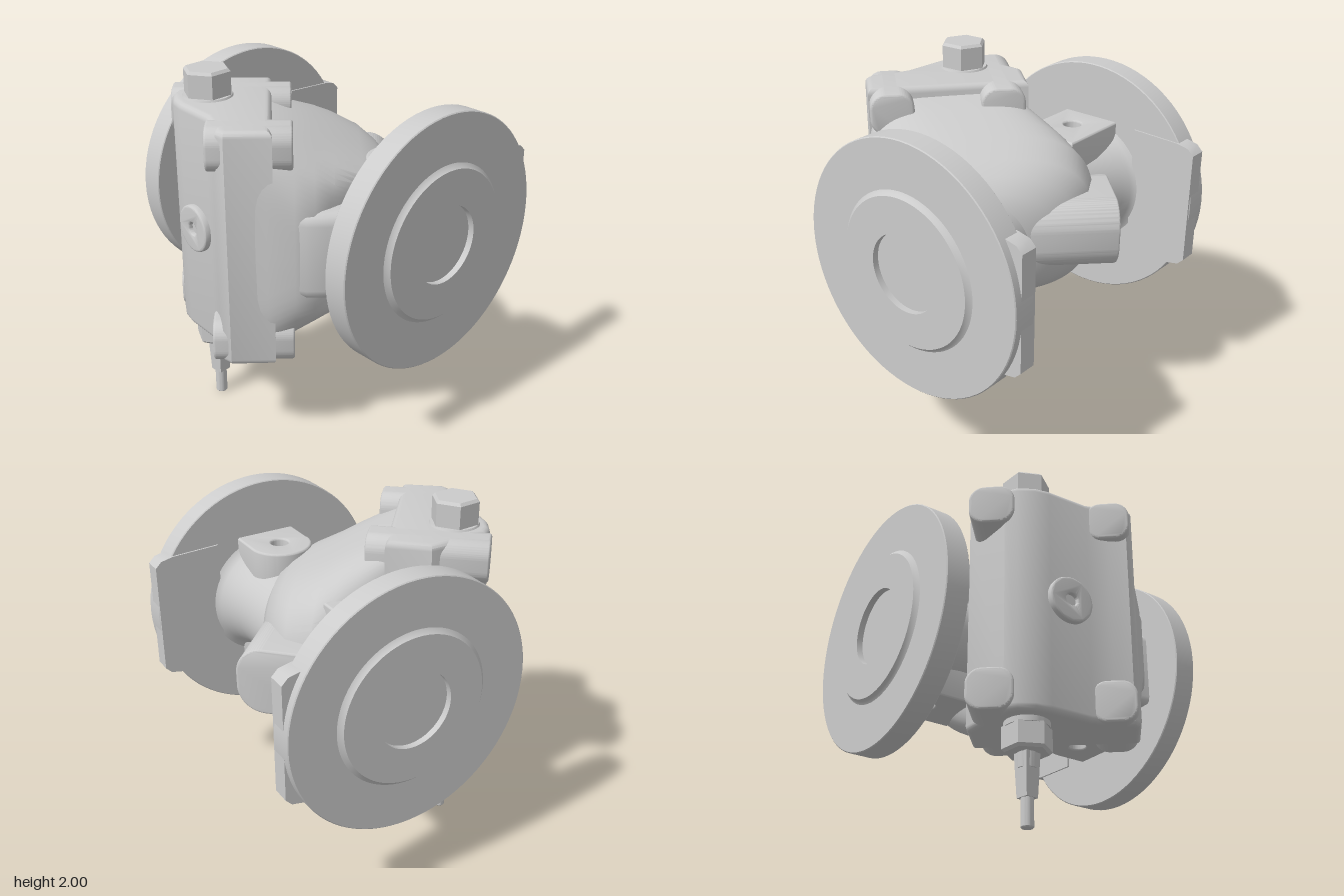
import * as THREE from 'three';
import { toCreasedNormals } from 'three/addons/utils/BufferGeometryUtils.js';

const MAT = new THREE.MeshStandardMaterial({ color: 0xcccccc });
const PIPE_Y = 1.19, PIPE_Z = -0.14;
const BONNET_ANGLE = -0.722;

function part(parent, name, geo, crease = 0.6) {
  const mesh = new THREE.Mesh(toCreasedNormals(geo, crease), MAT);
  mesh.name = name;
  parent.add(mesh);
  return mesh;
}

// Extrude with a rounded edge that stays inside the outline
function extrude(shape, depth, bevel = 0) {
  const geo = new THREE.ExtrudeGeometry(shape, {
    depth: depth - 2 * bevel, bevelEnabled: bevel > 0, bevelThickness: bevel,
    bevelSize: bevel, bevelOffset: -bevel, bevelSegments: 4, curveSegments: 24,
  });
  return geo.translate(0, 0, bevel);
}

// Vertical prism; the shape is drawn in (x, -z)
const prism = (shape, y0, y1, bevel) =>
  extrude(shape, y1 - y0, bevel).rotateX(-Math.PI / 2).translate(0, y0, 0);

const plan = (pts) => new THREE.Shape(pts.map(([x, z]) => new THREE.Vector2(x, -z)));

function roundedRect(x0, x1, y0, y1, r) {
  const s = new THREE.Shape();
  s.absarc(x1 - r, y1 - r, r, 0, Math.PI / 2);
  s.absarc(x0 + r, y1 - r, r, Math.PI / 2, Math.PI);
  s.absarc(x0 + r, y0 + r, r, Math.PI, Math.PI * 1.5);
  s.absarc(x1 - r, y0 + r, r, Math.PI * 1.5, Math.PI * 2);
  s.closePath();
  return s;
}

// Body swelling: superellipse sections along the slanted bonnet axis
function bodyGeometry() {
  // [position, sideways centre, half width, half height, squareness]
  const sections = [
    [-0.4, 0.23, 0.42, 0.63, 6], [-0.24, 0.21, 0.46, 0.61, 5], [-0.1, 0.15, 0.55, 0.56, 3.6],
    [0.0, 0.105, 0.59, 0.52, 3.2], [0.1, 0.07, 0.61, 0.47, 3], [0.25, 0.07, 0.57, 0.4, 2.8],
    [0.34, 0.1, 0.49, 0.345, 2.6], [0.41, 0.13, 0.4, 0.28, 2.5], [0.46, 0.15, 0.26, 0.18, 2.4],
    [0.47, 0.15, 0.001, 0.001, 2],
  ];
  const N = 72, pos = [], idx = [];
  sections.forEach(([a, c, hu, hy, n], i) => {
    for (let j = 0; j < N; j++) {
      const t = (j / N) * Math.PI * 2, co = Math.cos(t), si = Math.sin(t);
      const u = c + hu * Math.sign(co) * Math.abs(co) ** (2 / n);
      const y = PIPE_Y + hy * Math.sign(si) * Math.abs(si) ** (2 / n);
      pos.push(u, y, -a);
      if (i < sections.length - 1) {
        const k = (j + 1) % N, p = i * N, q = p + N;
        idx.push(p + j, q + j, p + k, p + k, q + j, q + k);
      }
    }
  });
  const geo = new THREE.BufferGeometry();
  geo.setAttribute('position', new THREE.Float32BufferAttribute(pos, 3));
  geo.setIndex(idx);
  geo.rotateY(BONNET_ANGLE);
  // Flat sides where the body meets the pipe necks
  const p = geo.attributes.position;
  for (let i = 0; i < p.count; i++) p.setX(i, Math.min(0.51, Math.max(-0.37, p.getX(i))));
  return geo;
}

// Flange, raised face, shallow bore and neck in one turned profile
function flangeGeometry(side) {
  const profile = [
    [0.2, 0], [0.28, 0], [0.28, 0.42], [0.288, 0.52], [0.31, 0.61], [0.33, 0.66], [0.345, 0.685],
    [0.37, 0.7], [0.695, 0.7], [0.7, 0.705], [0.7, 0.83], [0.695, 0.835], [0.435, 0.835],
    [0.42, 0.845], [0.41, 0.86], [0.215, 0.86], [0.215, 0.825], [0, 0.825],
  ].map(([r, h]) => new THREE.Vector2(r, h));
  return new THREE.LatheGeometry(profile, 80)
    .rotateZ(-side * Math.PI / 2).translate(0, PIPE_Y, PIPE_Z);
}

export function createModel() {
  const model = new THREE.Group();
  model.name = 'angledValve';

  // Pipe ends
  for (const side of [1, -1]) {
    const end = new THREE.Group();
    end.name = side > 0 ? 'leftPipeEnd' : 'rightPipeEnd';
    model.add(end);
    part(end, 'flange', flangeGeometry(side), 0.5);

    // Flat tab at the rear of the flange
    const tab = new THREE.Shape([[-0.45, -0.38], [-0.45, 0.38], [-0.73, 0.37], [-0.8, 0.355],
      [-0.835, 0.32], [-0.835, -0.32], [-0.8, -0.355], [-0.73, -0.37]]
      .map(([z, y]) => new THREE.Vector2(z, y)));
    part(end, 'rearTab', extrude(tab, 0.1).rotateY(-Math.PI / 2)
      .translate(side > 0 ? 0.79 : -0.69, PIPE_Y, 0));

    // Drilled pads above and below the neck
    const pad = new THREE.Shape();
    if (side > 0) {
      pad.moveTo(0.72, -0.035);
      pad.lineTo(0.52, -0.035);
      pad.absarc(0.52, 0.14, 0.18, Math.PI * 1.5, Math.PI / 2, true);
      pad.lineTo(0.72, 0.32);
    } else {
      [[-0.72, -0.035], [-0.28, -0.035], [-0.28, 0.32], [-0.72, 0.32]]
        .forEach(([x, y], i) => (i ? pad.lineTo(x, y) : pad.moveTo(x, y)));
    }
    pad.closePath();
    pad.holes.push(new THREE.Path().absarc(side * 0.525, 0.14, 0.05, 0, Math.PI * 2));
    part(end, 'upperPad', prism(pad, 1.32, 1.58, 0.012));
    part(end, 'lowerPad', prism(pad, 0.8, 1.06, 0.012));
  }

  // Body
  part(model, 'body', bodyGeometry(), 0.7);
  const gusset = plan([[0.3, 0.58], [0.4, 0.56], [0.5, 0.5], [0.57, 0.42], [0.61, 0.34],
    [0.65, 0.305], [0.71, 0.32], [0.71, -0.1], [0.3, -0.1]]);
  part(model, 'neckGusset', prism(gusset, 0.95, 1.43, 0.06));

  // Rounded boss pointing to the rear
  part(model, 'rearBoss', extrude(roundedRect(-0.12, 0.445, -0.19, 0.19, 0.15), 0.75, 0.012)
    .rotateY(Math.PI / 4).translate(-0.63 * Math.SQRT1_2, PIPE_Y, -0.63 * Math.SQRT1_2));

  // Bonnet block
  const block = plan([[-0.48, 0.2], [-0.48, 0.54], [-0.44, 0.6], [-0.36, 0.65], [-0.28, 0.67],
    [-0.04, 0.685], [0.07, 0.73], [0.16, 0.78], [0.21, 0.77], [0.36, 0.59], [-0.32, 0.02]]);
  part(model, 'bonnetBlock', prism(block, 0.54, 1.85, 0.035));

  // Four corner bosses in the slanted frame: [u0, u1, back, front]
  const bosses = new THREE.Group();
  bosses.name = 'cornerBosses';
  bosses.rotation.y = BONNET_ANGLE;
  model.add(bosses);
  for (const [u0, u1, z0, z1] of [[-0.195, 0.05, 0.115, 0.755], [0.415, 0.655, 0.105, 0.535]]) {
    for (const y of [1.735, 0.655]) {
      part(bosses, 'cornerBoss', extrude(roundedRect(u0, u1, y - 0.115, y + 0.115, 0.085), z1 - z0, 0.015)
        .translate(0, 0, z0));
    }
  }

  // Front plug with a small centre hole
  const disc = new THREE.Shape().absarc(0, 0, 0.13, 0, Math.PI * 2);
  disc.holes.push(new THREE.Path().absarc(0, 0, 0.035, 0, Math.PI * 2));
  const plug = new THREE.Group();
  plug.name = 'frontPlug';
  plug.position.set(-0.165, PIPE_Y, 0.655);
  plug.rotation.y = -0.07;
  model.add(plug);
  part(plug, 'plugDisc', extrude(disc, 0.055, 0.012));
  part(plug, 'plugFloor', new THREE.CircleGeometry(0.04, 24).translate(0, 0, 0.03));

  // Bolt heads and spindle
  const spindle = new THREE.Group();
  spindle.name = 'spindle';
  spindle.position.set(-0.293, 0, 0.476);
  model.add(spindle);
  const turned = (name, rTop, rBottom, y0, y1, sides, turn = 0.08) =>
    part(spindle, name, new THREE.CylinderGeometry(rTop, rBottom, y1 - y0, sides)
      .rotateY(turn).translate(0, (y0 + y1) / 2, 0));
  turned('topBoltHead', 0.13, 0.13, 1.86, 1.985, 6);
  turned('topBoltChamfer', 0.115, 0.13, 1.985, 2.0, 6);
  turned('topWasher', 0.13, 0.14, 1.84, 1.86, 40);
  turned('bottomWasher', 0.12, 0.12, 0.51, 0.55, 40);
  turned('bottomNut', 0.13, 0.13, 0.395, 0.515, 6);
  turned('bottomNutChamfer', 0.13, 0.115, 0.38, 0.395, 6);
  turned('spindleCollar', 0.052, 0.05, 0.3, 0.39, 32);
  turned('spindleSquare', 0.066, 0.052, 0.15, 0.385, 4, 0.9);
  turned('spindleTip', 0.033, 0.033, 0.006, 0.16, 32);
  turned('spindleTipEnd', 0.033, 0.028, 0, 0.006, 32);

  return model;
}
